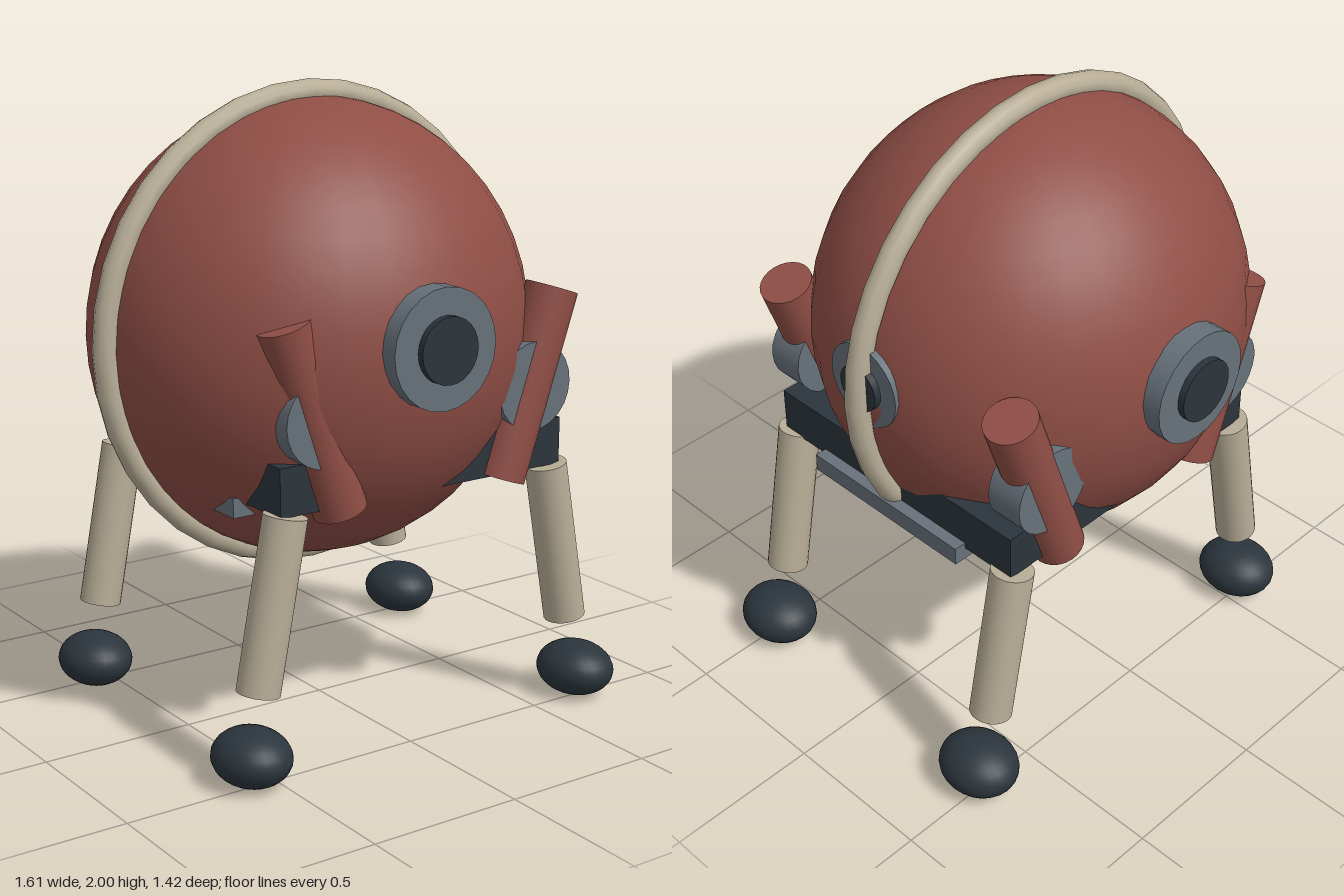
import * as THREE from 'three';

export function createModel() {
  const model = new THREE.Group();
  model.name = 'walkerPod';

  const mat = (name, color) => {
    const m = new THREE.MeshStandardMaterial({ color });
    m.name = name;
    return m;
  };
  const rust = mat('rustRed', 0x8f4e45);
  const cream = mat('cream', 0xb8ae97);
  const dark = mat('darkSlate', 0x2b353c);
  const grey = mat('steelGrey', 0x67717a);

  const add = (name, geometry, material, x = 0, y = 0, z = 0) => {
    const mesh = new THREE.Mesh(geometry, material);
    mesh.name = name;
    mesh.position.set(x, y, z);
    model.add(mesh);
    return mesh;
  };

  // Cylinder running between two points
  const rod = (name, from, to, radius, material) => {
    const a = new THREE.Vector3(...from);
    const b = new THREE.Vector3(...to);
    const dir = b.clone().sub(a);
    const mesh = add(name, new THREE.CylinderGeometry(radius, radius, dir.length(), 24), material);
    mesh.position.copy(a).add(b).multiplyScalar(0.5);
    mesh.quaternion.setFromUnitVectors(new THREE.Vector3(0, 1, 0), dir.normalize());
    return mesh;
  };

  // Hull, slightly offset from the undercarriage
  const hullX = -0.038;
  add('hull', new THREE.SphereGeometry(1, 32, 24), rust, hullX, 1.236, 0).scale.set(0.708, 0.715, 0.658);

  // Band around the hull
  add('hullRing', new THREE.TorusGeometry(0.725, 0.039, 10, 36), cream, hullX, 1.237, 0);

  // Front and back portholes
  for (const s of [1, -1]) {
    const side = s > 0 ? 'front' : 'back';
    rod(side + 'PortholeRim', [hullX + 0.005, 1.28, s * 0.56], [hullX + 0.005, 1.28, s * 0.69], 0.183, grey);
    rod(side + 'PortholeGlass', [hullX + 0.005, 1.28, s * 0.6], [hullX + 0.005, 1.28, s * 0.712], 0.101, dark);
  }

  // Porthole on the left flank
  rod('sidePortholeRim', [0.56, 1.3, 0], [0.662, 1.3, 0], 0.138, grey);
  rod('sidePortholeGlass', [0.58, 1.3, 0], [0.684, 1.3, 0], 0.075, dark);

  // Undercarriage and running board
  const baseX = 0.044;
  add('chassis', new THREE.BoxGeometry(1.05, 0.15, 1.01), dark, baseX, 0.88, 0);
  add('runningBoard', new THREE.BoxGeometry(1.13, 0.06, 0.63), grey, baseX, 0.795, 0);

  // Four legs, each with hip disc, piston, strut and foot
  for (const sx of [1, -1]) {
    for (const sz of [1, -1]) {
      const px = (d) => baseX + sx * d;
      const z = sz * 0.481;
      rod('hipDisc', [px(0.387), 1.08, z - 0.062], [px(0.387), 1.08, z + 0.062], 0.14, grey);
      rod('piston', [px(0.3), 0.79, z], [px(0.498), 1.369, z], 0.083, rust);
      rod('leg', [px(0.59), 0.28, z], [px(0.492), 0.805, z], 0.067, cream);
      add('foot', new THREE.SphereGeometry(1, 24, 16), dark, 0.059 + sx * 0.629, 0.087, z)
        .scale.set(0.118, 0.087, 0.135);
    }
  }

  return model;
}
